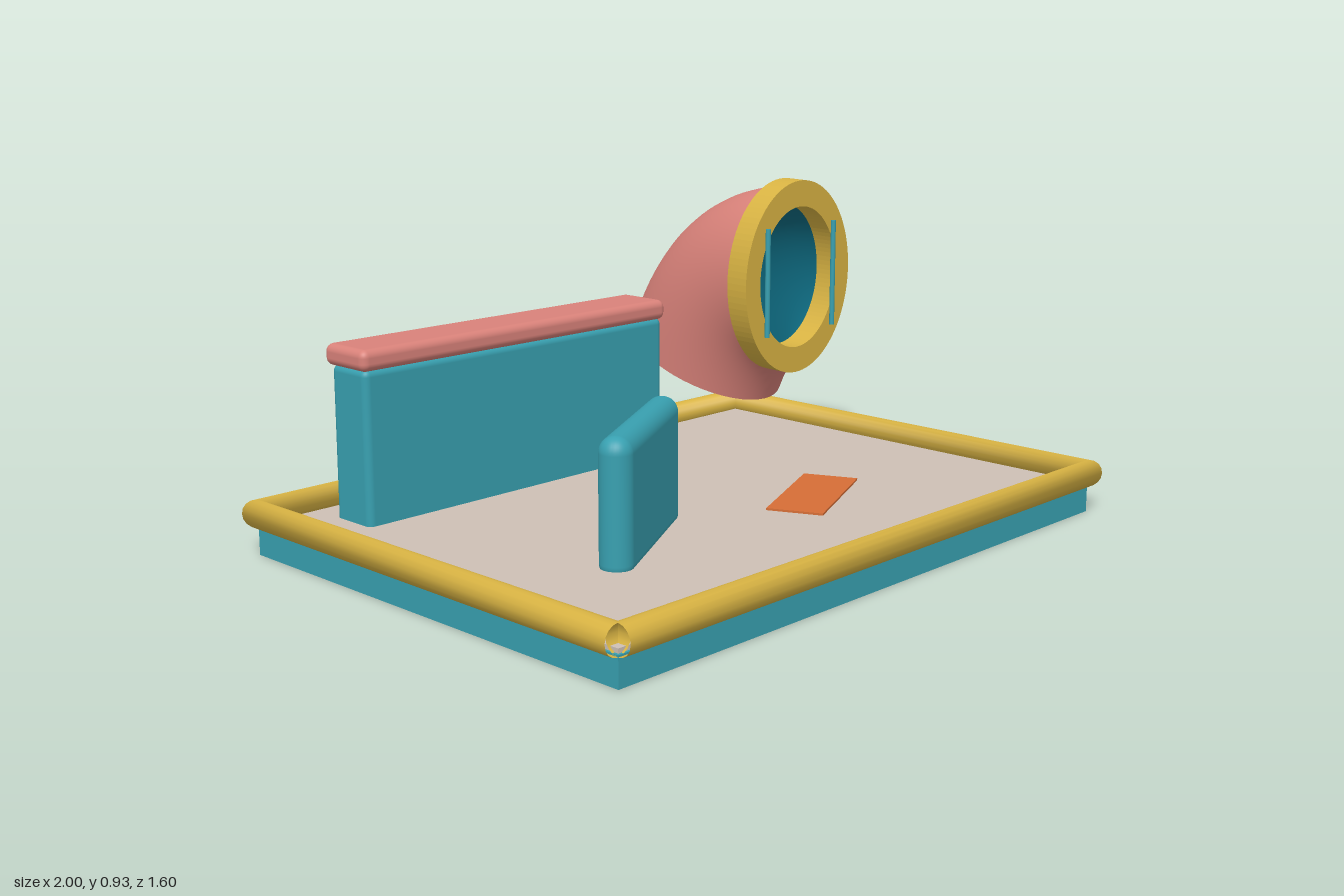
import * as THREE from 'three';
import { RoundedBoxGeometry } from 'three/addons/geometries/RoundedBoxGeometry.js';

const mat = (name, color, side = THREE.FrontSide) => {
  const m = new THREE.MeshStandardMaterial({ color, side });
  m.name = name;
  return m;
};

// Straight-sided path whose samples fall exactly on its corners
class CornerPath extends THREE.Curve {
  constructor(points) {
    super();
    this.points = points;
  }
  getPointAt(u) {
    return this.points[Math.round(u * (this.points.length - 1))].clone();
  }
  getTangentAt(u) {
    const p = this.points, i = Math.round(u * (p.length - 1));
    const t = new THREE.Vector3();
    if (i > 0) t.add(p[i].clone().sub(p[i - 1]).normalize());
    if (i < p.length - 1) t.add(p[i + 1].clone().sub(p[i]).normalize());
    return t.normalize();
  }
}

export function createModel() {
  const root = new THREE.Group();
  root.name = 'tabletopCourse';
  const teal = mat('teal', 0x38a0b0);
  const pink = mat('coral pink', 0xd9827a, THREE.DoubleSide);
  const gold = mat('gold', 0xd8b343, THREE.DoubleSide);
  const sand = mat('sand', 0xcdc0b5);
  const orange = mat('orange', 0xd66e36);
  const deep = mat('deep teal', 0x0e6a80, THREE.DoubleSide);

  const add = (name, geometry, material, x = 0, y = 0, z = 0, parent = root) => {
    const mesh = new THREE.Mesh(geometry, material);
    mesh.name = name;
    mesh.position.set(x, y, z);
    parent.add(mesh);
    return mesh;
  };

  // Base slab and playing floor
  add('base', new THREE.BoxGeometry(1.924, 0.08, 1.39), teal, 0.003, 0.04, 0.065);
  add('floor', new THREE.BoxGeometry(1.91, 0.012, 1.376), sand, 0.003, 0.086, 0.065);

  // Round rail around the rim, mitred at three corners and open at the fourth
  const corners = [[-0.96, 0.76], [0.97, 0.76], [0.97, -0.635], [-0.96, -0.635], [-0.96, 0.76]]
    .map(([x, z]) => new THREE.Vector3(x, 0.115, z));
  add('rail', new THREE.TubeGeometry(new CornerPath(corners), 4, 0.04, 16, false), gold);

  // Long back wall with its cap
  add('backWall', new RoundedBoxGeometry(1.12, 0.45, 0.15, 3, 0.02), teal, -0.222, 0.295, -0.445);
  add('wallCap', new RoundedBoxGeometry(1.14, 0.06, 0.176, 4, 0.022), pink, -0.222, 0.545, -0.45);

  // Slanted bumper and the mark on the floor
  const bumper = add('bumper', new RoundedBoxGeometry(0.54, 0.37, 0.09, 5, 0.044), teal, -0.362, 0.245, 0.232);
  bumper.rotation.y = Math.PI / 6;
  const mark = add('floorMark', new THREE.BoxGeometry(0.39, 0.006, 0.162), orange, 0.2925, 0.095, 0.275);
  mark.rotation.y = 0.424;

  // Bent pipe with an oval section
  const pipe = new THREE.Group();
  pipe.name = 'bentPipe';
  pipe.position.x = 0.722;
  pipe.scale.x = 0.815;
  root.add(pipe);
  const bend = new THREE.QuadraticBezierCurve3(
    new THREE.Vector3(0, 0.627, -0.165),
    new THREE.Vector3(0, 0.63, -0.414),
    new THREE.Vector3(0, 0.325, -0.5425));
  add('pipeOuter', new THREE.TubeGeometry(bend, 28, 0.28, 48), pink, 0, 0, 0, pipe);
  add('pipeLining', new THREE.TubeGeometry(bend, 28, 0.225, 48), deep, 0, 0, 0, pipe);
  const end = bend.getPoint(1);
  const rim = add('pipeRim', new THREE.RingGeometry(0.225, 0.28, 48), pink, end.x, end.y, end.z, pipe);
  rim.quaternion.setFromUnitVectors(new THREE.Vector3(0, 0, 1), bend.getTangent(1));

  // Flange around the pipe mouth
  const ring = new THREE.Shape().absarc(0, 0, 0.303, 0, Math.PI * 2);
  ring.holes.push(new THREE.Path().absarc(0, 0, 0.222, 0, Math.PI * 2, true));
  const flange = add('flange',
    new THREE.ExtrudeGeometry(ring, { depth: 0.076, bevelEnabled: false, curveSegments: 48 }),
    gold, 0, 0.627, -0.225, pipe);
  flange.rotation.x = 0.02;

  // Two thin upright bars on the flange
  for (const side of [-1, 1]) {
    add(side < 0 ? 'rightBar' : 'leftBar',
      new THREE.CylinderGeometry(0.008, 0.008, 0.335, 12), teal, 0.722 + side * 0.157, 0.624, -0.14);
  }
  return root;
}
